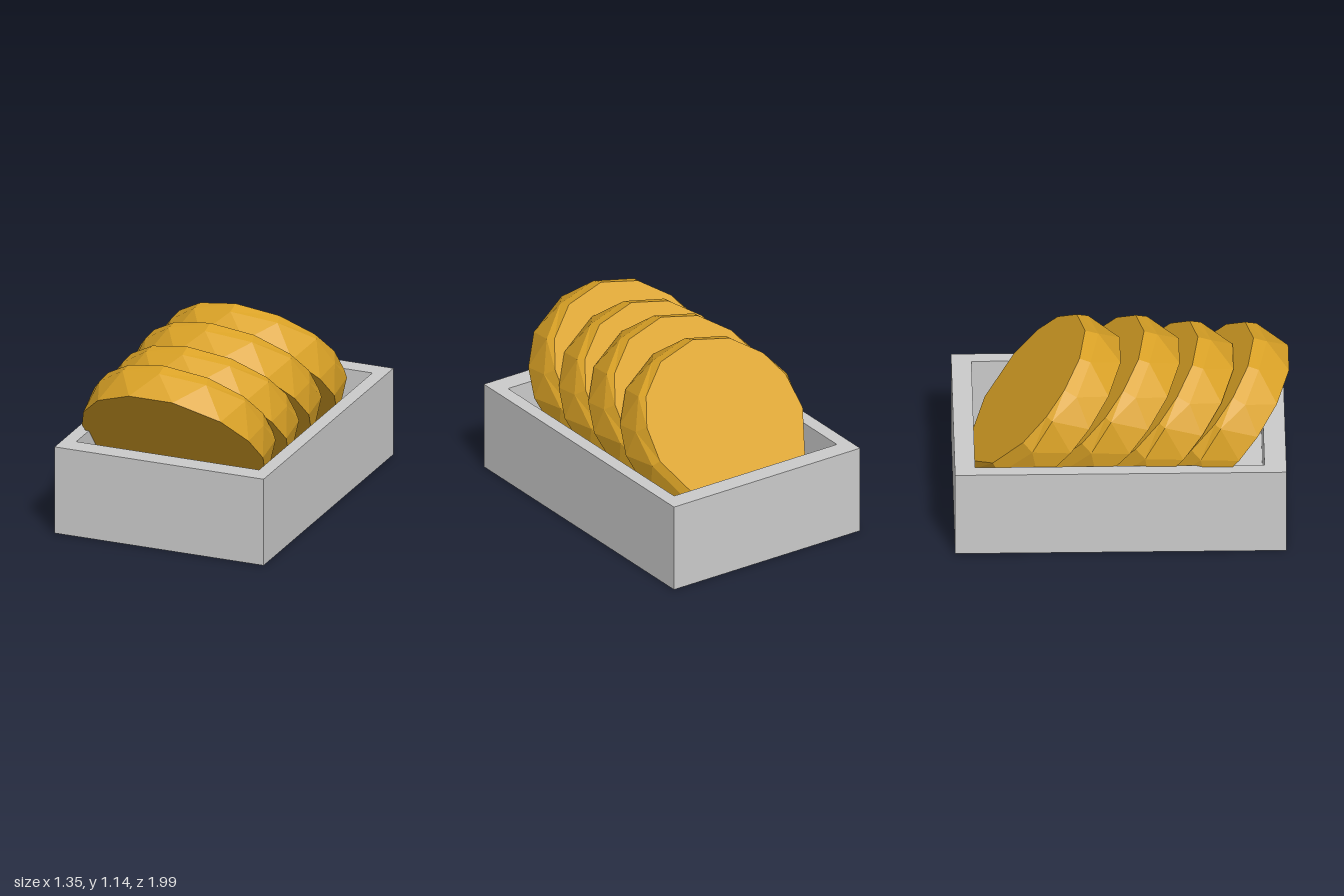
import * as THREE from 'three';

const TILT = 0.702;
// Irregular spacing of the rim corners, counter-clockwise from the top (degrees)
const ANGLES = [14, 40, 63, 81, 110, 145, 175, 205, 245, 273, 292, 315, 346];

// Thick faceted disc: front rim, a back shoulder turned half a step, and a smaller back rim
function sliceGeometry() {
  const n = ANGLES.length;
  const point = (deg, r, z) => {
    const a = THREE.MathUtils.degToRad(deg);
    return [-Math.sin(a) * r, Math.cos(a) * r, z];
  };
  const mid = (i) => (ANGLES[i] + (i === n - 1 ? ANGLES[0] + 360 : ANGLES[i + 1])) / 2;
  const front = ANGLES.map((a) => point(a, 0.58, 0));
  const shoulder = ANGLES.map((a, i) => point(mid(i), 0.568, -0.19 + 0.025 * Math.sin(i * 2.3)));
  const back = ANGLES.map((a, i) => point(mid(i), 0.535, -0.25));

  const pos = [];
  const tri = (...corners) => corners.forEach((c) => pos.push(...c));
  for (let i = 0; i < n; i++) {
    const j = (i + 1) % n;
    tri([0, 0, 0], front[i], front[j]);
    tri(front[i], shoulder[i], front[j]);
    tri(shoulder[i], shoulder[j], front[j]);
    tri(shoulder[i], back[i], shoulder[j]);
    tri(back[i], back[j], shoulder[j]);
    tri([0, 0, -0.25], back[j], back[i]);
  }
  const geo = new THREE.BufferGeometry();
  geo.setAttribute('position', new THREE.Float32BufferAttribute(pos, 3));
  geo.computeVertexNormals();
  return geo;
}

function rectangle(PathType, x, z0, z1) {
  const p = new PathType();
  p.moveTo(-x, -z1);
  p.lineTo(x, -z1);
  p.lineTo(x, -z0);
  p.lineTo(-x, -z0);
  p.closePath();
  return p;
}

export function createModel() {
  const model = new THREE.Group();
  model.name = 'trayOfSlices';
  const grey = new THREE.MeshStandardMaterial({ color: 0xcccccc, flatShading: true });
  const golden = new THREE.MeshStandardMaterial({ color: 0xdaa226, flatShading: true });

  // Open tray: extruded wall frame and a floor
  const tray = new THREE.Group();
  tray.name = 'tray';
  const frame = rectangle(THREE.Shape, 0.675, -1, 0.97);
  frame.holes.push(rectangle(THREE.Path, 0.59, -0.88, 0.84));
  const wallGeo = new THREE.ExtrudeGeometry(frame, { depth: 0.55, bevelEnabled: false });
  wallGeo.rotateX(-Math.PI / 2);
  const walls = new THREE.Mesh(wallGeo, grey);
  walls.name = 'trayWalls';
  const floor = new THREE.Mesh(new THREE.BoxGeometry(1.18, 0.1, 1.72), grey);
  floor.name = 'trayFloor';
  floor.position.set(0, 0.05, -0.02);
  tray.add(walls, floor);
  model.add(tray);

  // Leaning row of slices: centre of each front face
  const geo = sliceGeometry();
  const centres = [
    [-0.045, 0.527, 0.63],
    [-0.035, 0.532, 0.3],
    [-0.025, 0.57, -0.02],
    [-0.01, 0.57, -0.37],
  ];
  centres.forEach((c, i) => {
    const slice = new THREE.Mesh(geo, golden);
    slice.name = `slice${i + 1}`;
    slice.position.set(...c);
    slice.rotation.x = TILT;
    model.add(slice);
  });

  return model;
}
